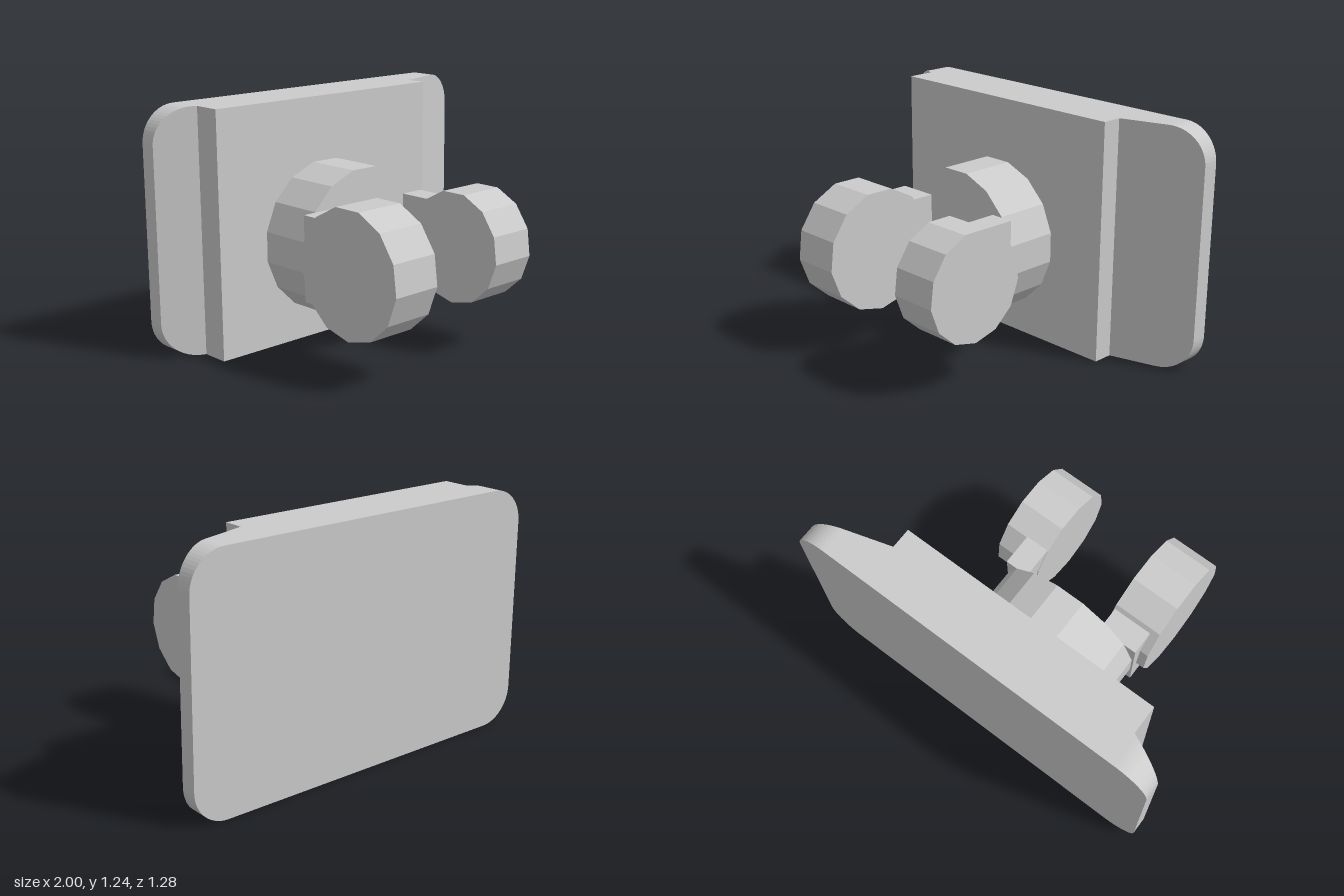
import * as THREE from 'three';

const grey = new THREE.MeshStandardMaterial({ color: 0xcccccc, flatShading: true });
const H = 1.24, BACK = -0.64, MID_Y = 0.525;

function add(group, name, geometry, x = 0, y = 0, z = 0) {
  const mesh = new THREE.Mesh(geometry, grey);
  mesh.name = name;
  mesh.position.set(x, y, z);
  group.add(mesh);
}

// Plate end with rounded corners; its front slopes from zInner down to zOuter at |x| = 1
function wingGeometry(side, xInner, zInner, zOuter) {
  const r = 0.18;
  const shape = new THREE.Shape();
  shape.moveTo(xInner, 0);
  shape.lineTo(1 - r, 0);
  shape.absarc(1 - r, r, r, -Math.PI / 2, 0, false);
  shape.lineTo(1, H - r);
  shape.absarc(1 - r, H - r, r, 0, Math.PI / 2, false);
  shape.lineTo(xInner, H);
  shape.closePath();
  // Mirror the outline for the other end
  const points = shape.getPoints(8).map((p) => new THREE.Vector2(p.x * side, p.y));
  const geometry = new THREE.ExtrudeGeometry(new THREE.Shape(points), { depth: 1, bevelEnabled: false });
  const pos = geometry.attributes.position;
  for (let i = 0; i < pos.count; i++) {
    const t = (Math.abs(pos.getX(i)) - xInner) / (1 - xInner);
    const front = THREE.MathUtils.lerp(zInner, zOuter, t);
    pos.setZ(i, pos.getZ(i) > 0.5 ? front : BACK);
  }
  geometry.computeVertexNormals();
  return geometry;
}

// Thirteen-sided disc lying across x, with one corner straight down
function discGeometry(radius, width) {
  return new THREE.CylinderGeometry(radius, radius, width, 13)
    .rotateZ(Math.PI / 2).rotateX(Math.PI / 2);
}

export function createModel() {
  const model = new THREE.Group();
  model.name = 'plateMount';

  // Back plate: thick middle and two sloping ends
  add(model, 'plateMiddle', new THREE.BoxGeometry(1.38, H, 0.315), -0.11, H / 2, -0.4825);
  add(model, 'plateRightEnd', wingGeometry(-1, 0.8, -0.47, -0.555));
  add(model, 'plateLeftEnd', wingGeometry(1, 0.58, -0.43, -0.555));

  // Round boss in front of the plate
  const boss = new THREE.CylinderGeometry(0.392, 0.392, 0.3, 16, 1, false, Math.PI / 16).rotateX(Math.PI / 2);
  add(model, 'boss', boss, -0.13, MID_Y, -0.18);

  // Lugs joining the boss to the discs
  add(model, 'rightLug', new THREE.BoxGeometry(0.21, 0.43, 0.33), -0.42, MID_Y, 0.135);
  add(model, 'leftLug', new THREE.BoxGeometry(0.125, 0.43, 0.33), 0.1975, MID_Y, 0.135);

  // Side discs
  add(model, 'rightDisc', discGeometry(0.318, 0.26), -0.44, MID_Y, 0.32);
  add(model, 'leftDisc', discGeometry(0.284, 0.25), 0.255, MID_Y, 0.322);
  return model;
}
